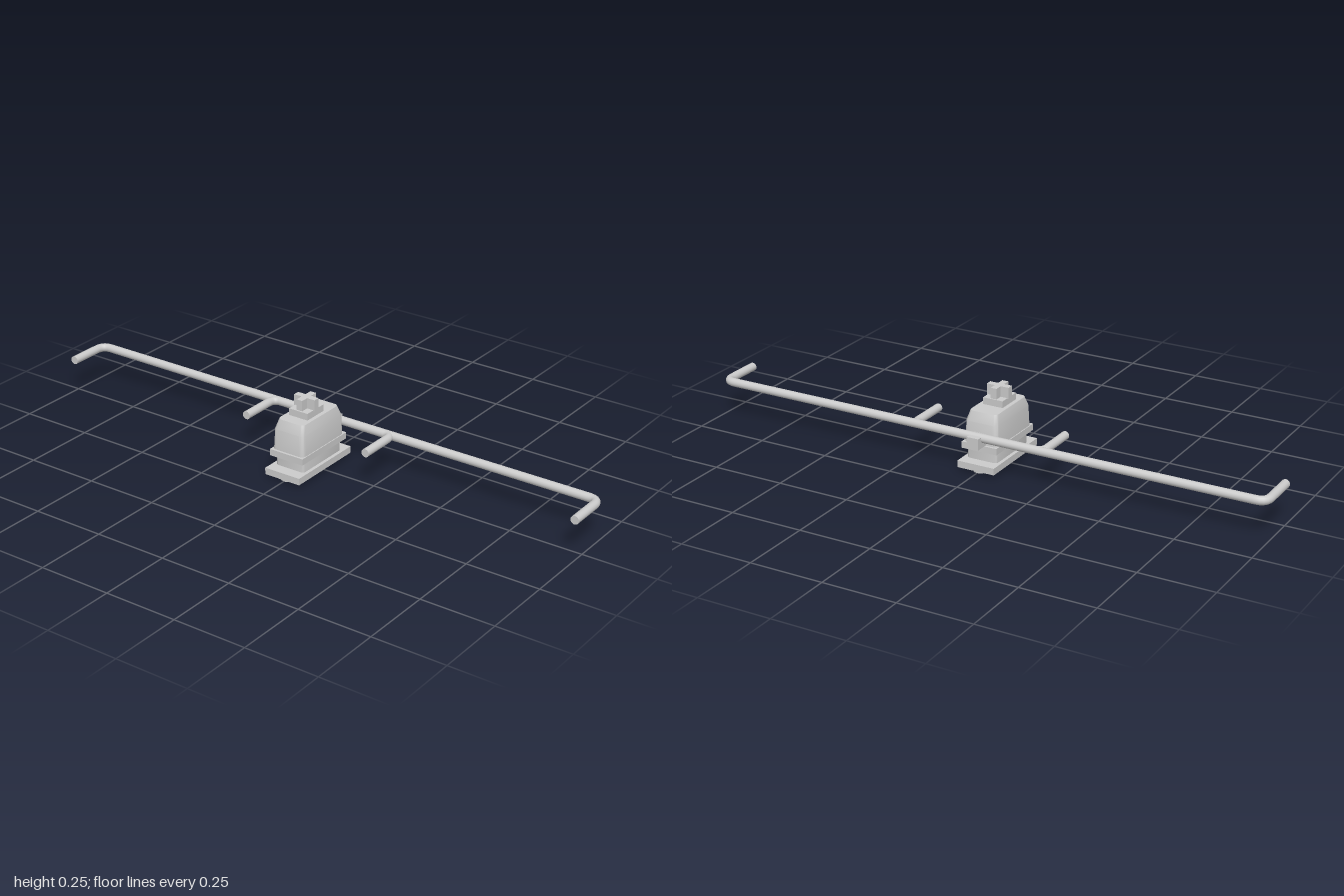
import * as THREE from 'three';
import { toCreasedNormals } from 'three/addons/utils/BufferGeometryUtils.js';

const material = new THREE.MeshStandardMaterial({ color: 0xcccccc });

function add(group, name, geometry, x = 0, y = 0, z = 0) {
  const mesh = new THREE.Mesh(geometry, material);
  mesh.name = name;
  mesh.position.set(x, y, z);
  group.add(mesh);
  return mesh;
}

// Box given by its half width and its y and z limits
function block(group, name, halfX, y0, y1, z0, z1) {
  add(group, name, new THREE.BoxGeometry(2 * halfX, y1 - y0, z1 - z0), 0, (y0 + y1) / 2, (z0 + z1) / 2);
}

// Stack of rounded rectangles, each [y, halfX, z0, z1], closed at both ends
function loft(sections, radius) {
  const steps = 5, n = 4 * (steps + 1), pos = [], index = [];
  for (const [y, hx, z0, z1] of sections) {
    const mid = (z0 + z1) / 2, hz = (z1 - z0) / 2;
    for (let c = 0; c < 4; c++) {
      const sx = c === 0 || c === 3 ? 1 : -1, sz = c < 2 ? 1 : -1;
      for (let i = 0; i <= steps; i++) {
        const a = (c + i / steps) * Math.PI / 2;
        pos.push(sx * (hx - radius) + radius * Math.cos(a), y, mid + sz * (hz - radius) + radius * Math.sin(a));
      }
    }
  }
  for (let s = 0; s < sections.length - 1; s++) {
    for (let j = 0; j < n; j++) {
      const a = s * n + j, b = s * n + (j + 1) % n;
      index.push(a, a + n, b, b, a + n, b + n);
    }
  }
  const top = (sections.length - 1) * n;
  for (let j = 1; j < n - 1; j++) {
    index.push(0, j, j + 1);
    index.push(top, top + j + 1, top + j);
  }
  const g = new THREE.BufferGeometry();
  g.setAttribute('position', new THREE.Float32BufferAttribute(pos, 3));
  g.setIndex(index);
  return toCreasedNormals(g, 0.5);
}

// Wire bent into a wide U with both ends pointing forward
function bentWire(group, name, halfX, radius, bend) {
  const y = 0.124, back = -0.122, front = 0.03;
  const v = (x, z) => new THREE.Vector3(x, y, z);
  const path = new THREE.CurvePath();
  path.add(new THREE.LineCurve3(v(-halfX, front), v(-halfX, back + bend)));
  path.add(new THREE.QuadraticBezierCurve3(v(-halfX, back + bend), v(-halfX, back), v(-halfX + bend, back)));
  path.add(new THREE.LineCurve3(v(-halfX + bend, back), v(halfX - bend, back)));
  path.add(new THREE.QuadraticBezierCurve3(v(halfX - bend, back), v(halfX, back), v(halfX, back + bend)));
  path.add(new THREE.LineCurve3(v(halfX, back + bend), v(halfX, front)));
  const wire = new THREE.Group();
  wire.name = name;
  add(wire, 'wire', new THREE.TubeGeometry(path, 240, radius, 16, false));
  for (const s of [-1, 1]) add(wire, 'wireEnd', new THREE.CircleGeometry(radius, 16), s * halfX, y, front);
  group.add(wire);
}

export function createModel() {
  const model = new THREE.Group();
  model.name = 'switchWithWire';

  // Feet and base
  for (const z of [0.119, -0.101]) {
    add(model, 'foot', new THREE.CylinderGeometry(0.024, 0.024, 0.012, 24), 0, 0.006, z);
  }
  block(model, 'basePlate', 0.067, 0.01, 0.033, -0.134, 0.152);

  // Housing
  add(model, 'lowerHousing', loft([[0.03, 0.055, -0.095, 0.112], [0.072, 0.055, -0.095, 0.112]], 0.012));
  block(model, 'flange', 0.064, 0.07, 0.092, -0.112, 0.13);
  add(model, 'upperHousing', loft([
    [0.09, 0.061, -0.104, 0.122],
    [0.163, 0.058, -0.101, 0.119],
    [0.195, 0.05, -0.088, 0.107],
  ], 0.015));

  // Plunger with a cross on top
  block(model, 'plungerBase', 0.036, 0.19, 0.218, -0.023, 0.064);
  block(model, 'crossArmSide', 0.04, 0.215, 0.254, 0.009, 0.031);
  block(model, 'crossArmFront', 0.011, 0.215, 0.254, -0.018, 0.058);

  // Rear clip and the long and short wires
  block(model, 'rearClip', 0.021, 0.093, 0.131, -0.152, -0.09);
  bentWire(model, 'longWire', 0.984, 0.0145, 0.035);
  bentWire(model, 'shortWire', 0.235, 0.0142, 0.03);

  return model;
}
